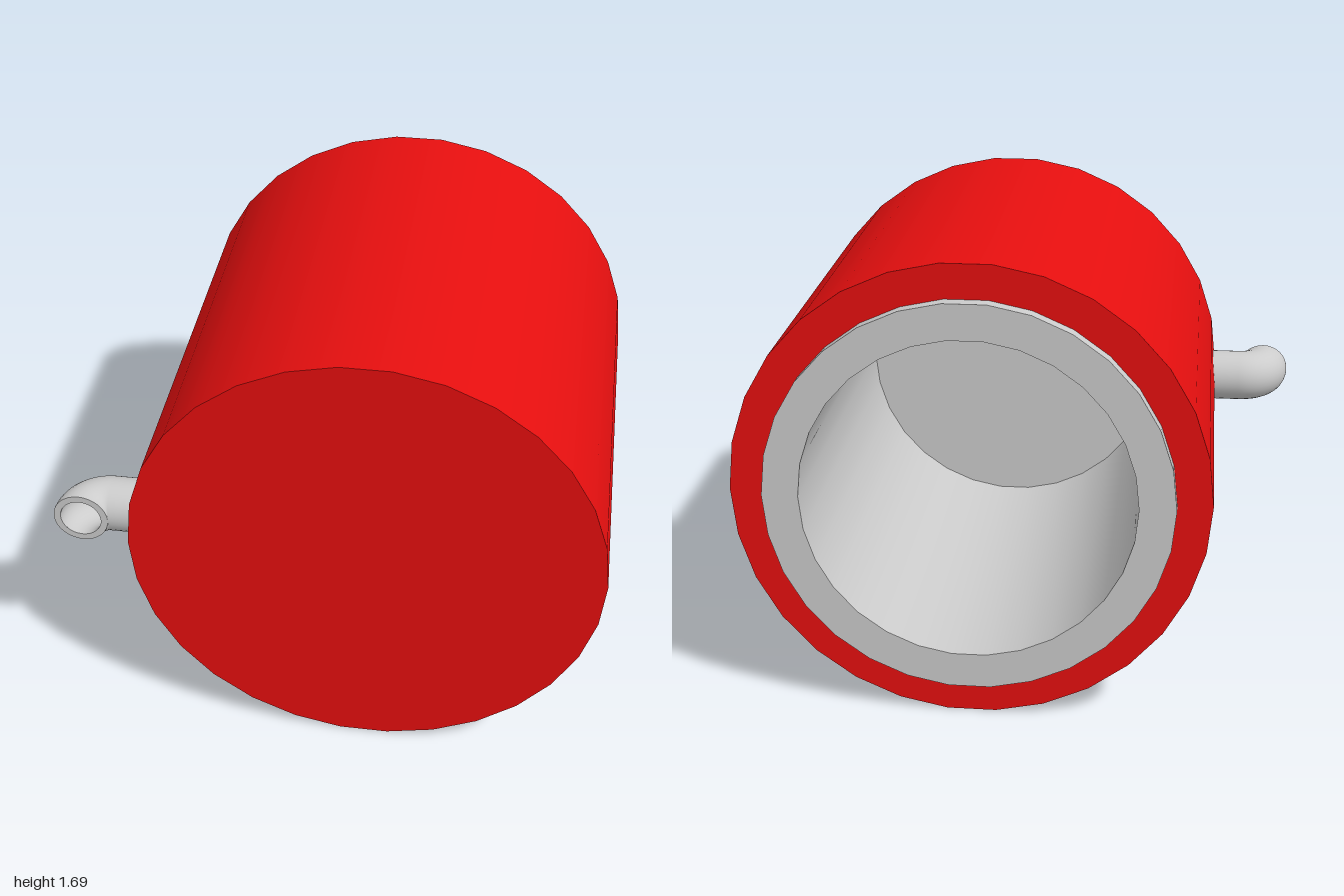
import * as THREE from 'three';
import { mergeGeometries } from 'three/addons/utils/BufferGeometryUtils.js';

const SIDES = 30;
const CENTRE = new THREE.Vector3(0.15, 0.845, 0);

// Turns a [radius, z] profile around the z axis, keeping every profile corner sharp
function turned(profile) {
  const bands = [];
  for (let i = 0; i < profile.length - 1; i++) {
    const pts = [profile[i], profile[i + 1]].map(([r, z]) => new THREE.Vector2(r, z));
    bands.push(new THREE.LatheGeometry(pts, SIDES, Math.PI / 2));
  }
  return mergeGeometries(bands).rotateX(Math.PI / 2);
}

export function createModel() {
  const group = new THREE.Group();
  const red = new THREE.MeshStandardMaterial({ color: 0xe60f0f });
  const grey = new THREE.MeshStandardMaterial({ color: 0xcccccc });
  const inside = new THREE.MeshStandardMaterial({ color: 0xcccccc, side: THREE.BackSide });

  const add = (name, geometry, material, parent = group) => {
    const mesh = new THREE.Mesh(geometry, material);
    mesh.name = name;
    parent.add(mesh);
    return mesh;
  };

  // Drum shell: back rim, wall and closed front
  add('drumShell', turned([[0.7, -0.75], [0.85, -0.75], [0.85, 0.8], [0, 0.8]]), red)
    .position.copy(CENTRE);

  // Liner: closed bore with a lip standing out of the back
  add('liner', turned([[0, 0.7], [0.595, 0.7], [0.595, -0.8], [0.725, -0.8], [0.725, -0.75]]), grey)
    .position.copy(CENTRE);

  // Elbow pipe: leaves the side of the drum and turns to the front
  const pipe = new THREE.Group();
  pipe.name = 'elbowPipe';
  group.add(pipe);
  const y = CENTRE.y;
  const path = new THREE.CurvePath();
  path.add(new THREE.LineCurve3(new THREE.Vector3(-0.64, y, 0.6), new THREE.Vector3(-0.8, y, 0.6)));
  const k = 0.1 * (1 - 0.5523);
  path.add(new THREE.CubicBezierCurve3(
    new THREE.Vector3(-0.8, y, 0.6), new THREE.Vector3(-0.9 + k, y, 0.6),
    new THREE.Vector3(-0.9, y, 0.6 + k), new THREE.Vector3(-0.9, y, 0.7)));
  add('pipeOuterWall', new THREE.TubeGeometry(path, 40, 0.1, 32), grey, pipe);
  add('pipeInnerWall', new THREE.TubeGeometry(path, 40, 0.075, 32), inside, pipe);
  add('pipeMouth', new THREE.RingGeometry(0.075, 0.1, 32), grey, pipe).position.set(-0.9, y, 0.7);

  return group;
}
